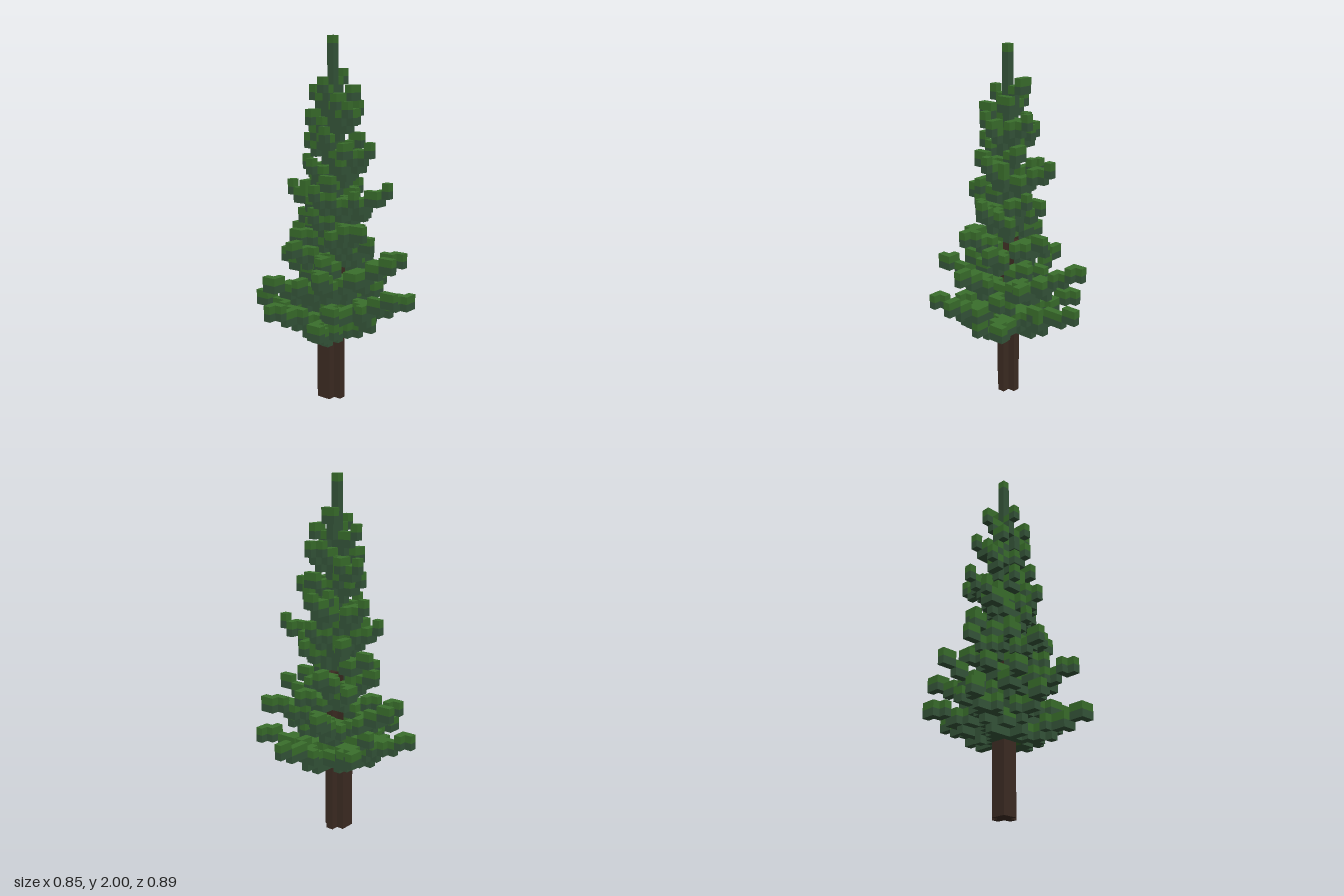
import * as THREE from 'three';
import { mergeGeometries } from 'three/addons/utils/BufferGeometryUtils.js';

const S = 2 / 47;            // edge of one cube
const CX = -1, CZ = 11;      // trunk column

// Tips of the long branches: [x cell, z cell, height cell]
const LONG_TIPS = [
  [-1, 0, 14], [-10, 15, 13], [-4, 20, 13], [4, 20, 12], [9, 12, 15], [7, 5, 13], [-8, 5, 13],
  [-10, 10, 18], [-6, 18, 16], [3, 19, 18], [8, 11, 19], [5, 4, 18], [-5, 2, 18],
  [-7, 11, 22], [-2, 18, 21], [5, 13, 23], [6, 9, 28], [-6, 13, 28], [0, 16, 28],
  [4, 10, 33], [-6, 10, 31], [-2, 5, 32], [-5, 10, 36], [2, 12, 38], [0, 7, 38],
];

// The six faces of a cube: direction and turn of a plane facing +z
const FACES = [
  [0, 0, 1, 0, 0], [0, 0, -1, 0, Math.PI], [1, 0, 0, 0, Math.PI / 2],
  [-1, 0, 0, 0, -Math.PI / 2], [0, 1, 0, -Math.PI / 2, 0], [0, -1, 0, Math.PI / 2, 0],
].map(([x, y, z, rx, ry]) => {
  const plane = new THREE.PlaneGeometry(S, S).rotateX(rx).rotateY(ry);
  return { x, y, z, plane: plane.translate(x * S / 2, y * S / 2, z * S / 2) };
});

export function createModel() {
  const materials = {
    bark: new THREE.MeshStandardMaterial({ color: 0x3d2c23 }),
    brightNeedles: new THREE.MeshStandardMaterial({ color: 0x3a6f2c }),
    darkNeedles: new THREE.MeshStandardMaterial({ color: 0x35553a }),
  };
  for (const [name, m] of Object.entries(materials)) m.name = name;

  // Where cubes meet, bark wins over bright needles and bright over dark
  const cells = new Map();
  const key = (x, y, z) => `${x},${y},${z}`;
  const rank = { darkNeedles: 0, brightNeedles: 1, bark: 2 };
  function put(part, colour, x, y, z) {
    const k = key(x, y, z), old = cells.get(k);
    if (!old || rank[colour] > rank[old.colour]) cells.set(k, { part, colour, x, y, z });
  }

  // One column of a branch: bright on top, dark below
  function column(part, x, y, z, thick) {
    for (let i = 0; i < thick; i++)
      put(part, i ? 'darkNeedles' : 'brightNeedles', x, Math.max(9, y - i), z);
  }

  // A branch rises outward in steps, steeper near the crown, with short side twigs
  function branch(part, tx, tz, ty) {
    const dx = tx - CX, dz = tz - CZ;
    const n = Math.max(Math.abs(dx), Math.abs(dz));
    const alongX = Math.abs(dx) >= Math.abs(dz);
    const slope = 0.35 + 0.012 * (ty - 12);
    let px = CX, pz = CZ;
    for (let s = 1; s <= n; s++) {
      const t = s / n;
      const x = CX + Math.round(dx * t), z = CZ + Math.round(dz * t);
      const y = ty - Math.round(slope * (n - s));
      column(part, x, y, z, t > 0.6 ? 2 : 3);
      if (x !== px && z !== pz) column(part, alongX ? x : px, y, alongX ? pz : z, 2);
      if (n >= 4 && (s === Math.round(n * 0.3) || s === Math.round(n * 0.55))) {
        for (const side of [-1, 1])
          column(part, x + (alongX ? 0 : side), y, z + (alongX ? side : 0), 2);
      }
      px = x;
      pz = z;
    }
  }

  // Trunk: a cross of columns with one filled corner
  for (const [dx, dz] of [[0, 0], [1, 0], [-1, 0], [0, 1], [0, -1], [-1, 1]])
    for (let y = 0; y < 22; y++) put('trunk', 'bark', CX + dx, y, CZ + dz);

  // Leader shoot
  for (let y = 22; y < 47; y++)
    put('leaderShoot', y === 46 ? 'brightNeedles' : 'darkNeedles', CX, y, CZ);

  // Long branches
  for (const [x, z, y] of LONG_TIPS) branch('longBranches', x, z, y);

  // Short branches wind up the trunk in a tapering spiral
  const count = 42;
  for (let i = 0; i < count; i++) {
    const t = i / (count - 1), angle = i * 2.4;
    const reach = THREE.MathUtils.lerp(6.3, 2.3, t);
    branch('shortBranches', CX + Math.round(reach * Math.cos(angle)),
      CZ + Math.round(reach * Math.sin(angle)), Math.round(THREE.MathUtils.lerp(11, 42, t)));
  }

  // Gather the exposed cube faces of each part by colour
  const parts = {};
  for (const { part, colour, x, y, z } of cells.values()) {
    for (const f of FACES) {
      if (cells.has(key(x + f.x, y + f.y, z + f.z))) continue;
      parts[part] ??= {};
      parts[part][colour] ??= [];
      parts[part][colour].push(
        f.plane.clone().translate((x + 0.5) * S, (y + 0.5) * S, (z - 10) * S));
    }
  }

  const tree = new THREE.Group();
  tree.name = 'coniferTree';
  for (const [part, colours] of Object.entries(parts)) {
    const group = new THREE.Group();
    group.name = part;
    tree.add(group);
    for (const [colour, planes] of Object.entries(colours)) {
      const mesh = new THREE.Mesh(mergeGeometries(planes), materials[colour]);
      mesh.name = `${part} ${colour}`;
      group.add(mesh);
    }
  }
  return tree;
}
